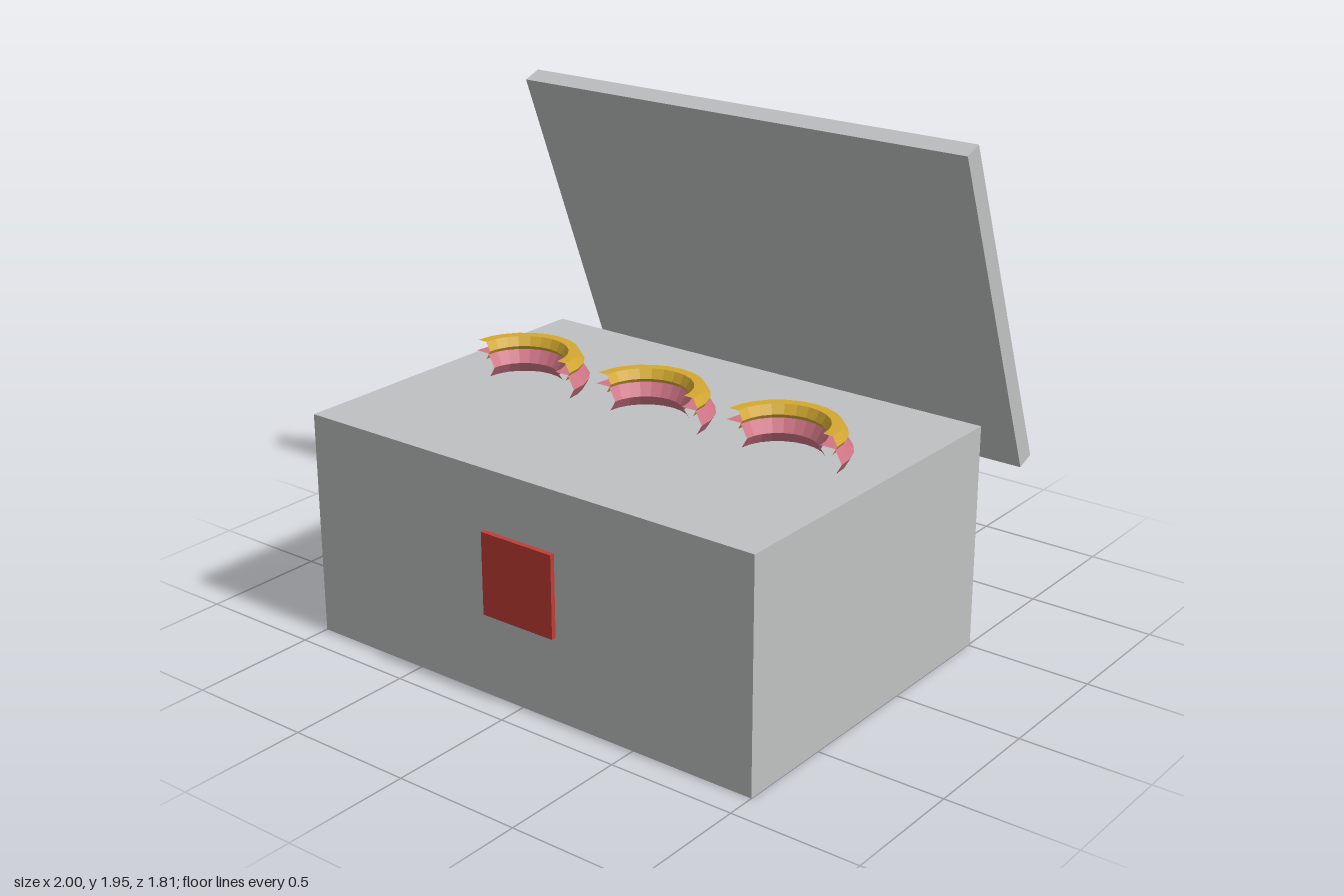
import * as THREE from 'three';

function material(name, color, flat = true) {
  const m = new THREE.MeshStandardMaterial({ color, flatShading: flat });
  m.name = name;
  return m;
}

export function createModel() {
  const root = new THREE.Group();
  root.name = 'openChest';

  const grey = material('grey', 0xc0c1c2);
  const red = material('red', 0xc43c35);
  const pink = material('pink', 0xd17686);
  const gold = material('gold', 0xd4a931);

  const add = (name, geometry, mat, x, y, z) => {
    const mesh = new THREE.Mesh(geometry, mat);
    mesh.name = name;
    mesh.position.set(x, y, z);
    root.add(mesh);
    return mesh;
  };

  const midZ = 0.186;

  // Chest body, with the lid tilted open behind it
  add('chestBody', new THREE.BoxGeometry(2, 0.88, 1.4), grey, 0, 0.44, midZ);
  const lid = add('lid', new THREE.BoxGeometry(2, 1.4, 0.077), grey, 0, 1.282, -0.614);
  lid.rotation.x = 0.37;

  // Square latch on the front
  add('latch', new THREE.BoxGeometry(0.32, 0.32, 0.04), red, 0, 0.485, 0.885);

  // Three half rings lying on top, open toward the front, each with a gold ring on a pink one
  const halfRing = (tube) =>
    new THREE.TorusGeometry(0.2, tube, 6, 12, Math.PI).rotateX(-Math.PI / 2);
  const pinkRing = halfRing(0.06);
  const goldRing = halfRing(0.04);
  for (const x of [-0.6, 0, 0.6]) {
    add('lowerHalfRing', pinkRing, pink, x, 0.92, midZ);
    add('upperHalfRing', goldRing, gold, x, 0.982, midZ);
  }

  return root;
}
